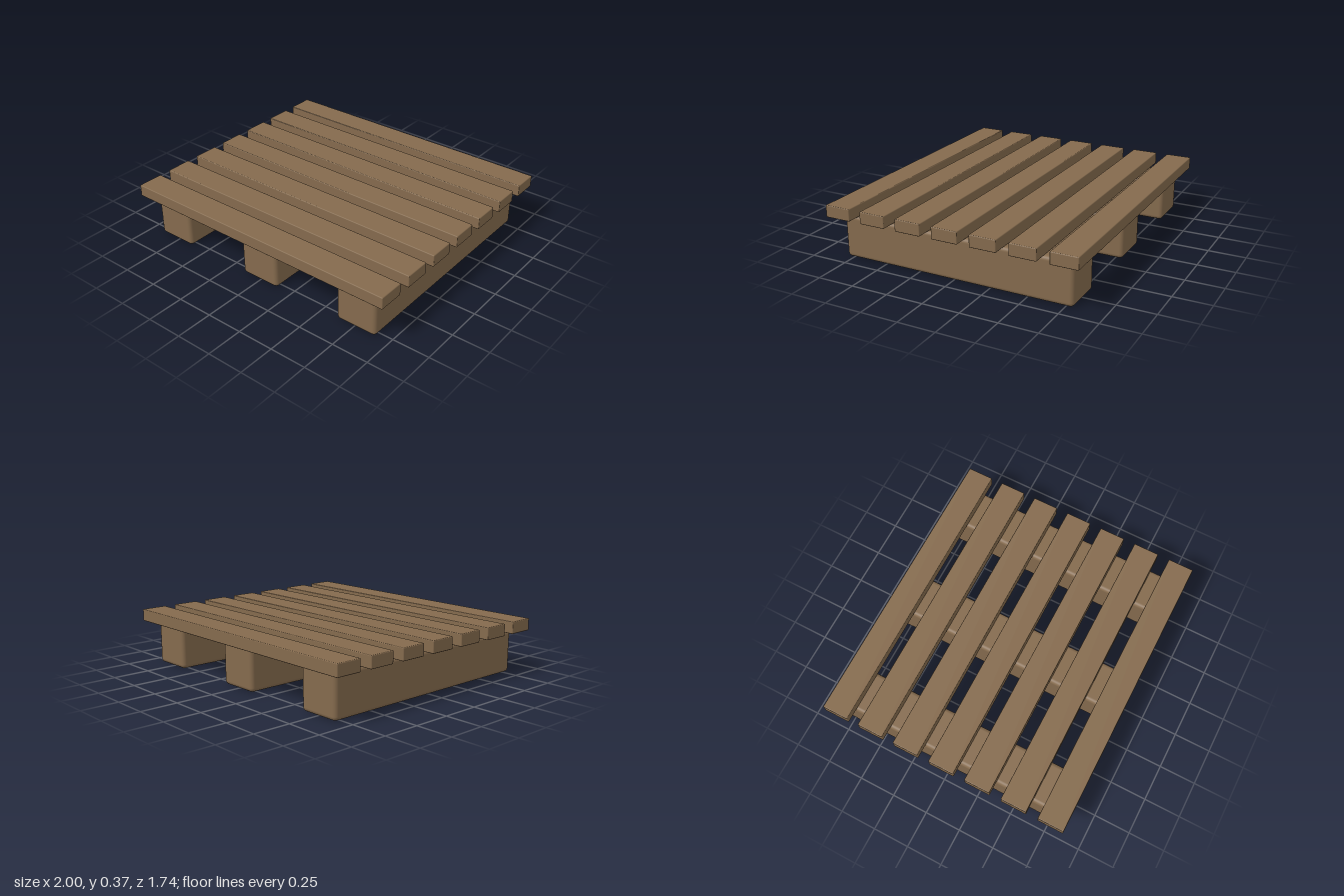
import * as THREE from 'three';
import { RoundedBoxGeometry } from 'three/addons/geometries/RoundedBoxGeometry.js';

const BEAM_HEIGHT = 0.29;
const SLAT_HEIGHT = 0.082;

export function createModel() {
  const pallet = new THREE.Group();
  pallet.name = 'pallet';
  const wood = new THREE.MeshStandardMaterial({ color: 0x846a4d });

  const addRow = (name, geometry, count, place) => {
    const row = new THREE.Group();
    row.name = name + 's';
    for (let i = 0; i < count; i++) {
      const mesh = new THREE.Mesh(geometry, wood);
      mesh.name = name + (i + 1);
      mesh.position.set(...place(i - (count - 1) / 2));
      row.add(mesh);
    }
    pallet.add(row);
  };

  // Three thick support beams running front to back
  const beam = new RoundedBoxGeometry(0.287, BEAM_HEIGHT, 1.6, 4, 0.027);
  addRow('beam', beam, 3, (i) => [i * 0.763, BEAM_HEIGHT / 2, 0]);

  // Seven deck slats laid across the beams
  const slat = new RoundedBoxGeometry(2, SLAT_HEIGHT, 0.179, 2, 0.006);
  addRow('slat', slat, 7, (i) => [0, BEAM_HEIGHT + SLAT_HEIGHT / 2, i * 0.26]);

  return pallet;
}
